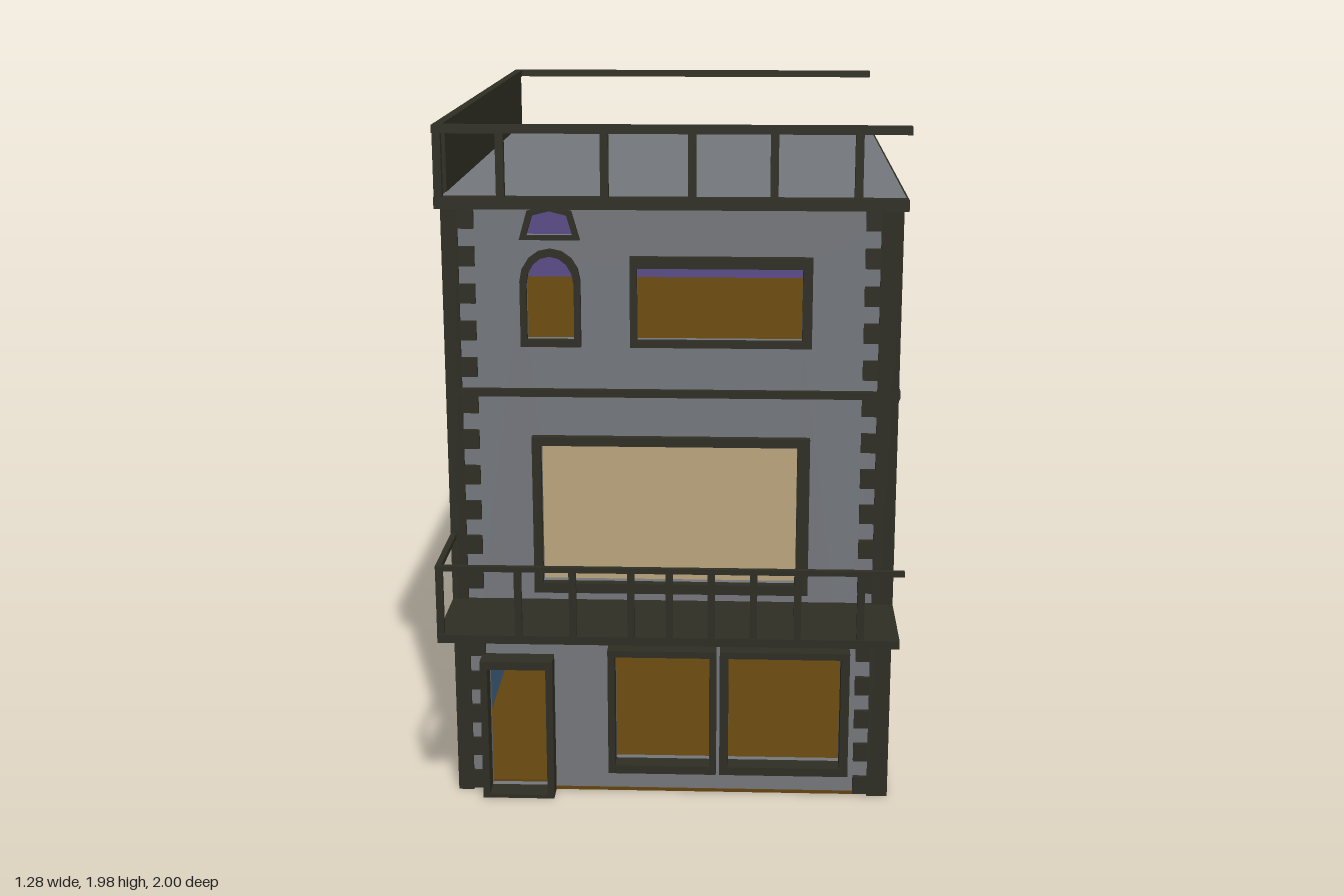
import * as THREE from 'three';

const mat = (name, color) => Object.assign(new THREE.MeshStandardMaterial({ color }), { name });

export function createModel() {
  const M = {
    wall: mat('wall grey', 0x74777c), trim: mat('dark trim', 0x2e2e24),
    blue: mat('blue room', 0x3f5f7c), red: mat('red room', 0x8a534f), purple: mat('purple room', 0x5a4a88),
    brown: mat('brown floor', 0x62440f), beige: mat('beige floor', 0xa89470), pale: mat('pale plaster', 0xa4a4a2),
  };
  const model = new THREE.Group();
  model.name = 'townhouse';
  const group = (name) => {
    const g = new THREE.Group();
    g.name = name;
    model.add(g);
    return g;
  };
  // box given by its limits on each axis
  const box = (parent, name, m, x0, x1, y0, y1, z0, z1) => {
    const mesh = new THREE.Mesh(new THREE.BoxGeometry(x1 - x0, y1 - y0, z1 - z0), m);
    mesh.position.set((x0 + x1) / 2, (y0 + y1) / 2, (z0 + z1) / 2);
    mesh.name = name;
    parent.add(mesh);
    return mesh;
  };
  const poly = (pts) => pts.map(([x, y]) => new THREE.Vector2(x, y));
  const rect = (x0, x1, y0, y1) => [[x0, y0], [x1, y0], [x1, y1], [x0, y1]];
  const extrude = (parent, name, m, outer, holes, z0, z1) => {
    const shape = new THREE.Shape(poly(outer));
    holes.forEach((h) => shape.holes.push(new THREE.Path(poly(h))));
    const mesh = new THREE.Mesh(new THREE.ExtrudeGeometry(shape, { depth: z1 - z0, bevelEnabled: false }), m);
    mesh.position.z = z0;
    mesh.name = name;
    parent.add(mesh);
  };
  // upright sides with an arched top
  const arch = (x0, x1, y0, ySpring, yTop) => {
    const pts = [[x0, y0], [x1, y0]];
    const cx = (x0 + x1) / 2, r = (x1 - x0) / 2;
    for (let i = 0; i <= 8; i++) {
      const a = (i / 8) * Math.PI;
      pts.push([cx + r * Math.cos(a), ySpring + (yTop - ySpring) * Math.sin(a)]);
    }
    return pts;
  };

  const L = -0.64, R = 0.63, F = 0.71, B = -1, T = 1.755;

  // openings: name, outer frame outline, inner outline, frame front
  const openings = [
    ['door', rect(-0.56, -0.35, 0, 0.43), rect(-0.54, -0.37, 0.012, 0.405), 0.775],
    ['shopWindowA', rect(-0.19, 0.125, 0.08, 0.465), rect(-0.17, 0.105, 0.105, 0.445), 0.765],
    ['shopWindowB', rect(0.135, 0.51, 0.08, 0.465), rect(0.16, 0.485, 0.105, 0.445), 0.765],
    ['largeWindow', rect(-0.4, 0.385, 0.63, 1.095), rect(-0.375, 0.35, 0.66, 1.07), 0.735],
    ['upperWindow', rect(-0.12, 0.385, 1.355, 1.61), rect(-0.1, 0.358, 1.375, 1.578), 0.73],
    ['archedWindow', arch(-0.425, -0.257, 1.355, 1.54, 1.63), arch(-0.407, -0.275, 1.375, 1.53, 1.61), 0.73],
    ['fanlight', [[-0.425, 1.655], [-0.257, 1.655], [-0.28, 1.735], [-0.34, 1.748], [-0.402, 1.735]],
      [[-0.405, 1.667], [-0.277, 1.667], [-0.293, 1.723], [-0.34, 1.735], [-0.388, 1.723]], 0.725],
  ];

  // outer shell
  const shell = group('shell');
  extrude(shell, 'frontWall', M.wall, rect(L, R, 0, T), openings.map((o) => o[2]), F - 0.02, F);
  box(shell, 'rightHandWall', M.wall, R - 0.015, R, 0, T, B, F - 0.02);
  box(shell, 'leftHandWall', M.wall, L, L + 0.015, 0, T, B, F - 0.02);
  box(shell, 'backWall', M.wall, L + 0.015, R - 0.015, 0, T, B, B + 0.015);
  box(shell, 'roof', M.wall, L + 0.015, R, T, 1.785, B + 0.005, 0.79);
  box(shell, 'base', M.brown, L + 0.01, R - 0.01, 0, 0.01, B + 0.01, F + 0.002);

  // door and window frames
  const frames = group('frames');
  openings.forEach(([name, outer, inner, z]) => extrude(frames, name + 'Frame', M.trim, outer, [inner], F, z));

  // three rooms, lined with thin plates
  [['ground', 0.01, 0.59, M.blue, M.brown], ['middle', 0.6, 1.21, M.red, M.beige],
    ['top', 1.22, 1.75, M.purple, M.brown]].forEach(([name, y0, y1, wall, floor]) => {
    const room = group(name + 'Room');
    const x0 = L + 0.016, x1 = R - 0.016, z0 = B + 0.016, z1 = F - 0.021;
    box(room, 'floor', floor, x0, x1, y0, y0 + 0.008, z0, z1);
    box(room, 'ceiling', wall, x0, x1, y1 - 0.008, y1, z0, z1);
    box(room, 'sideLiningA', wall, x0, x0 + 0.008, y0 + 0.008, y1 - 0.008, z0, z1);
    box(room, 'sideLiningB', wall, x1 - 0.008, x1, y0 + 0.008, y1 - 0.008, z0, z1);
    box(room, 'backLining', wall, x0, x1, y0 + 0.008, y1 - 0.008, z0, z0 + 0.008);
  });

  // toothed corner stones on the front
  const quoins = group('quoins');
  box(quoins, 'cornerStrip', M.trim, L, -0.595, 0, T, F, 0.722);
  box(quoins, 'cornerStrip', M.trim, 0.57, R, 0, T, F, 0.722);
  for (let y = 0.005; y < 1.72; y += 0.105) {
    box(quoins, 'tooth', M.trim, -0.595, -0.55, y, y + 0.055, F, 0.722);
    box(quoins, 'tooth', M.trim, 0.528, 0.57, y, y + 0.055, F, 0.722);
  }

  // storey band on the front, right and back
  const band = group('storeyBand');
  box(band, 'frontBand', M.trim, L, R + 0.003, 1.21, 1.232, F, 0.724);
  box(band, 'sideBand', M.trim, R, R + 0.005, 1.21, 1.232, B, F);
  box(band, 'backBand', M.trim, L + 0.03, R, 1.21, 1.232, B - 0.003, B);

  // eaves, solid side parapet and roof railing
  const top = group('roofRailing');
  box(top, 'frontEave', M.trim, L, R, T, 1.783, F, 0.825);
  box(top, 'frontEaveLip', M.trim, L, R, T, 1.787, 0.79, 0.825);
  box(top, 'sideEave', M.trim, R, R + 0.005, T, 1.785, B, 0.825);
  box(top, 'backEave', M.trim, L, R, T, 1.785, B - 0.003, B + 0.005);
  box(top, 'parapet', M.trim, L, L + 0.018, T, 1.96, B, F);
  box(top, 'parapetRail', M.trim, L, L + 0.025, 1.958, 1.98, B, 0.825);
  box(top, 'frontRail', M.trim, L, 0.638, 1.958, 1.98, 0.795, 0.825);
  box(top, 'backRail', M.trim, L, R, 1.958, 1.98, B, B + 0.025);
  [-0.628, -0.46, -0.18, 0.055, 0.275, 0.5].forEach((x) =>
    box(top, 'post', M.trim, x - 0.011, x + 0.011, 1.78, 1.96, 0.8, 0.822));

  // balcony
  const balcony = group('balcony');
  box(balcony, 'balconyFloor', M.trim, L, R, 0.578, 0.602, F, 1);
  box(balcony, 'frontRail', M.trim, L, 0.638, 0.787, 0.802, 0.985, 1);
  box(balcony, 'sideRail', M.trim, L, L + 0.016, 0.787, 0.802, F, 0.985);
  [-0.63, -0.415, -0.265, -0.105, 0, 0.115, 0.23, 0.35, 0.522].forEach((x) =>
    box(balcony, 'post', M.trim, x - 0.01, x + 0.01, 0.6, 0.79, 0.985, 0.999));

  // worn plaster and red edging on the back
  const back = group('backDetails');
  extrude(back, 'wornPlaster', M.pale, [[R, T], [R, 1.64], [0.5, 1.6], [0.36, 1.59], [0.35, 1.54], [0.2, 1.58],
    [0.08, 1.63], [-0.08, 1.62], [-0.1, 1.56], [-0.3, 1.58], [-0.32, 1.64], [-0.45, 1.65], [-0.5, 1.6], [L + 0.02, 1.58],
    [L + 0.02, T]].reverse(), [], B - 0.002, B);
  box(back, 'plasterLine', M.pale, L + 0.03, R, 1.315, 1.34, B - 0.002, B);
  box(back, 'redEdge', M.red, R - 0.018, R + 0.002, 0.6, 1.21, B - 0.002, B + 0.018);
  box(back, 'redEdge', M.red, L - 0.002, L + 0.018, 0.6, 1.21, B - 0.002, B + 0.004);

  return model;
}
